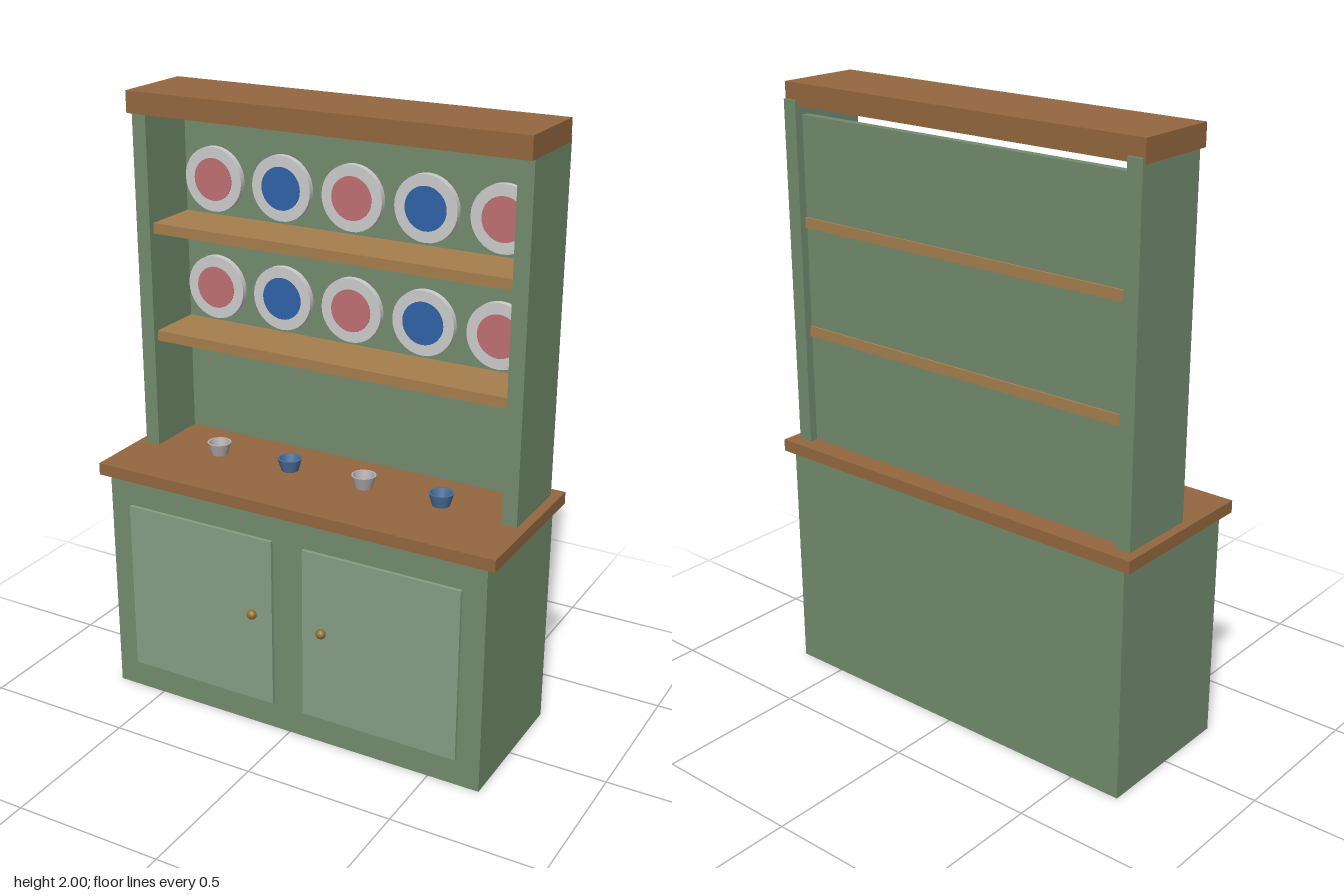
import * as THREE from 'three';

const mat = (color, side = THREE.FrontSide) => new THREE.MeshStandardMaterial({ color, side });

export function createModel() {
  const model = new THREE.Group();
  model.name = 'dresser';

  const green = mat(0x728b6d), doorGreen = mat(0x869d84);
  const wood = mat(0x93673f), shelfWood = mat(0xa57e4e), brass = mat(0x92702f);
  const white = mat(0xcccccc), pink = mat(0xbf6f73), blue = mat(0x2f62a8);
  const cupGrey = mat(0xb4aeae, THREE.DoubleSide), cupBlue = mat(0x4a6f9c, THREE.DoubleSide);

  const add = (name, geometry, material, x = 0, y = 0, z = 0) => {
    const mesh = new THREE.Mesh(geometry, material);
    mesh.name = name;
    mesh.position.set(x, y, z);
    model.add(mesh);
    return mesh;
  };
  // Box given by its lower and upper limits on each axis
  const box = (name, material, [x0, x1], [y0, y1], [z0, z1]) =>
    add(name, new THREE.BoxGeometry(x1 - x0, y1 - y0, z1 - z0), material,
      (x0 + x1) / 2, (y0 + y1) / 2, (z0 + z1) / 2);

  // Base cupboard, worktop and cornice
  box('cabinet', green, [-0.675, 0.675], [0, 0.775], [-0.2575, 0.2425]);
  box('worktop', wood, [-0.706, 0.706], [0.775, 0.815], [-0.2775, 0.2625]);
  box('cornice', wood, [-0.677, 0.677], [1.93, 2], [-0.2225, 0.0625]);

  // Doors, knobs and rack uprights, mirrored
  for (const s of [-1, 1]) {
    const span = (a, b) => [a * s, b * s].sort((p, q) => p - q);
    box('door', doorGreen, span(0.056, 0.597), [0.095, 0.682], [0.2375, 0.2545]);
    add('knob', new THREE.SphereGeometry(0.0165, 12, 8), brass, 0.127 * s, 0.41, 0.261);
    box('upright', green, span(0.625, 0.675), [0.815, 1.947], [-0.2325, 0.0375]);
  }

  // Rack back panel, with the shelves running through it
  box('backPanel', green, [-0.625, 0.625], [0.815, 1.9], [-0.205, -0.177]);
  for (const y of [1.18, 1.542])
    box('shelf', shelfWood, [-0.625, 0.625], [y, y + 0.034], [-0.212, 0.018]);

  // Two rows of standing plates with alternating centres
  const disc = (r, depth) => new THREE.CylinderGeometry(r, r, depth, 32).rotateX(Math.PI / 2);
  const plateGeometry = disc(0.106, 0.022), centreGeometry = disc(0.07, 0.022);
  for (const y of [1.333, 1.695]) {
    for (let i = 0; i < 5; i++) {
      const x = (i - 2) * 0.2535;
      add('plate', plateGeometry, white, x, y, -0.167);
      add('plateCentre', centreGeometry, i % 2 ? blue : pink, x, y, -0.165);
    }
  }

  // Row of small tapered cups on the worktop
  const cupProfile = [[0, 0], [0.028, 0], [0.04, 0.042], [0.034, 0.042], [0.024, 0.008], [0, 0.008]]
    .map(([r, y]) => new THREE.Vector2(r, y));
  // Separate segments keep the rim and foot edges sharp
  for (let i = 0; i < 4; i++) {
    const cup = new THREE.Group();
    cup.name = 'cup';
    cup.position.set((i - 1.5) * 0.271, 0.815, 0);
    for (let k = 0; k < cupProfile.length - 1; k++) {
      const part = new THREE.Mesh(
        new THREE.LatheGeometry(cupProfile.slice(k, k + 2), 20), i % 2 ? cupBlue : cupGrey);
      part.name = ['cupFoot', 'cupWall', 'cupRim', 'cupInside', 'cupFloor'][k];
      cup.add(part);
    }
    model.add(cup);
  }

  return model;
}
